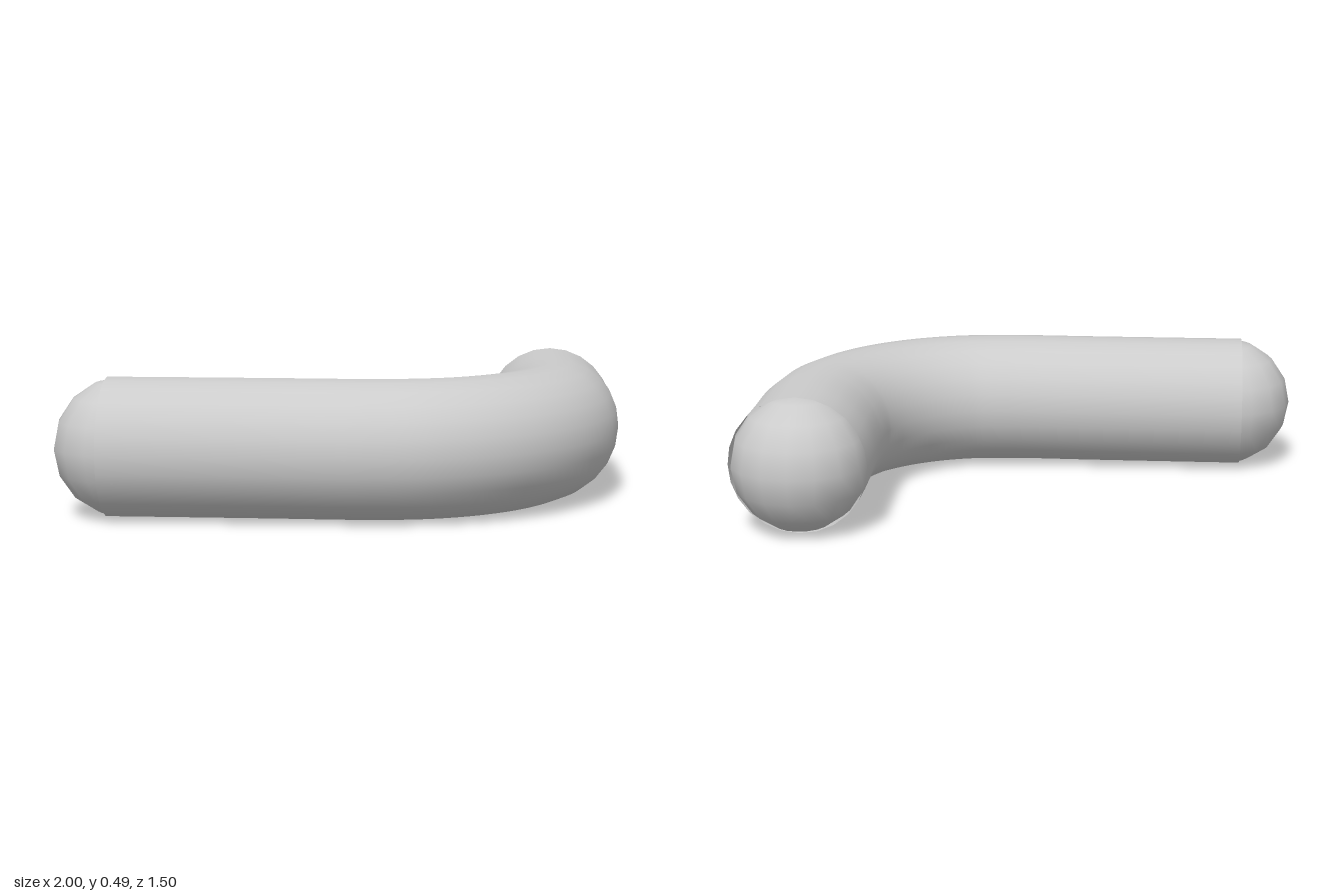
import * as THREE from 'three';

const R = 0.244, Y = 0.247;

export function createModel() {
  const group = new THREE.Group();
  const material = new THREE.MeshStandardMaterial({ color: 0xcccccc, side: THREE.DoubleSide });

  // Centre line: straight run, quarter bend, short straight run
  const bend = 0.65, cx = 0.1, cz = -0.15;
  const points = [[-0.81, 0.498], [-0.5, 0.498], [-0.2, 0.499], [0, 0.503]];
  for (let i = 0; i <= 6; i++) {
    const a = (i / 6) * Math.PI / 2;
    points.push([cx + bend * Math.sin(a), cz + bend * Math.cos(a)]);
  }
  points.push([0.752, -0.25], [0.748, -0.4], [0.747, -0.56]);
  const path = new THREE.CatmullRomCurve3(points.map(([x, z]) => new THREE.Vector3(x, Y, z)));
  const pipe = new THREE.Mesh(new THREE.TubeGeometry(path, 64, R, 24), material);
  pipe.name = 'bentPipe';
  group.add(pipe);

  // Rounded ends, sunk slightly into the pipe
  const ends = [['frontEndCap', -0.757, 0.498], ['backEndCap', 0.747, -0.511]];
  for (const [name, x, z] of ends) {
    const cap = new THREE.Mesh(new THREE.SphereGeometry(R - 0.001, 16, 8), material);
    cap.name = name;
    cap.position.set(x, Y, z);
    group.add(cap);
  }
  return group;
}
